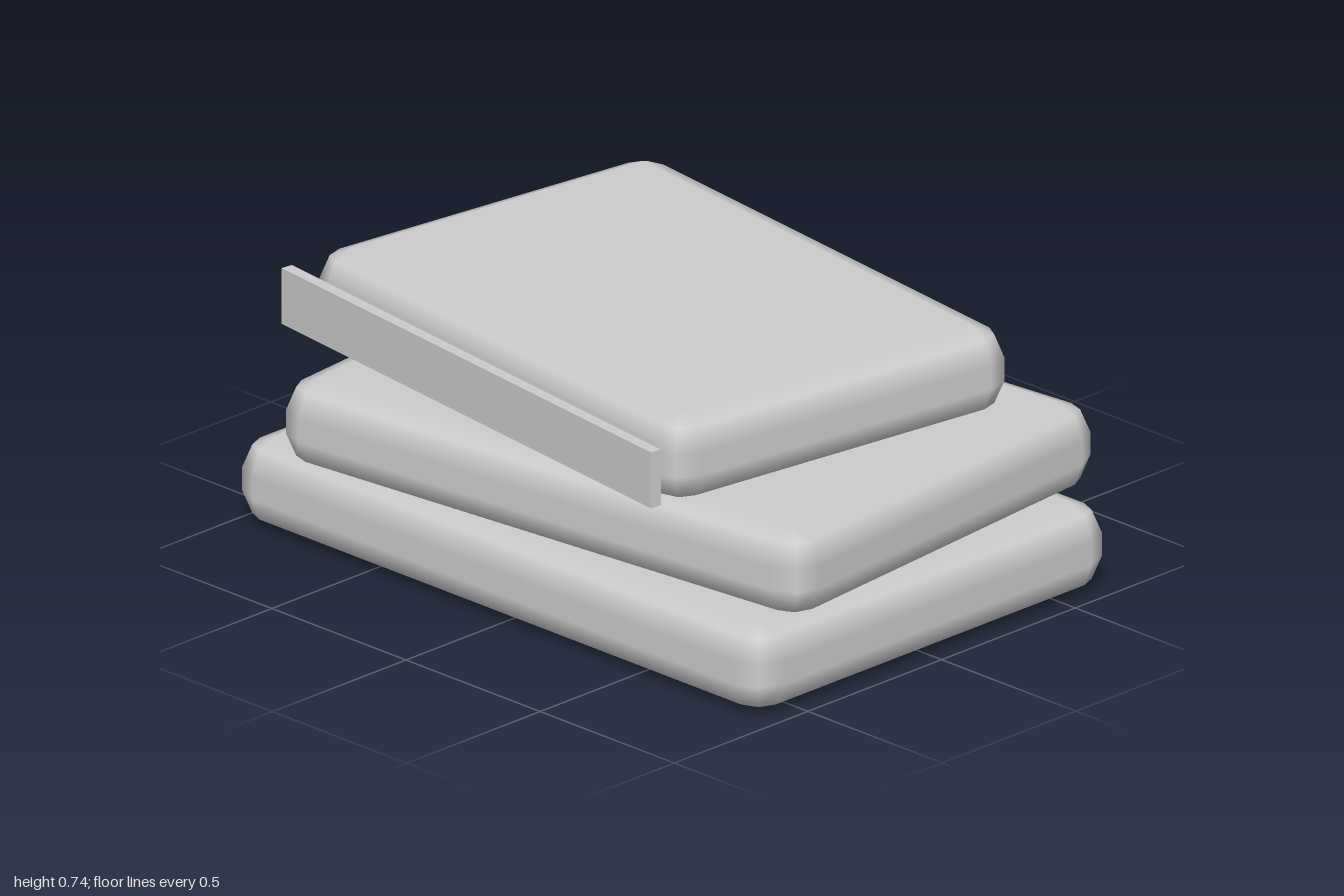
import * as THREE from 'three';

const grey = new THREE.MeshStandardMaterial({ color: 0xcccccc });
grey.name = 'light grey';

// Box with evenly rounded edges (two segments per quarter turn) and smooth normals
function roundedSlab(width, height, depth, r) {
  const half = [width / 2 - r, height / 2 - r, depth / 2 - r];
  const q = Math.PI / 4;
  const rings = [[-2, -1], [-1, -1], [0, -1], [0, 1], [1, 1], [2, 1]]; // [latitude step, y side]
  const pos = [], nor = [], index = [];
  for (const [lat, sy] of rings) {
    for (let corner = 0; corner < 4; corner++) {
      const sx = corner === 0 || corner === 3 ? 1 : -1;
      const sz = corner < 2 ? 1 : -1;
      for (let k = 0; k < 3; k++) {
        const t = (corner * 2 + k) * q;
        const c = Math.abs(lat) === 2 ? 0 : Math.cos(lat * q);
        const n = [c * Math.cos(t), Math.sin(lat * q), c * Math.sin(t)];
        nor.push(...n);
        pos.push(sx * half[0] + n[0] * r, sy * half[1] + n[1] * r, sz * half[2] + n[2] * r);
      }
    }
  }
  for (let i = 0; i < rings.length - 1; i++) {
    for (let j = 0; j < 12; j++) {
      const a = i * 12 + j, b = i * 12 + (j + 1) % 12;
      index.push(a, a + 12, b, b, a + 12, b + 12);
    }
  }
  // Flat bottom and top
  const top = (rings.length - 1) * 12;
  index.push(0, 3, 6, 0, 6, 9, top, top + 6, top + 3, top, top + 9, top + 6);
  const g = new THREE.BufferGeometry();
  g.setAttribute('position', new THREE.Float32BufferAttribute(pos, 3));
  g.setAttribute('normal', new THREE.Float32BufferAttribute(nor, 3));
  g.setIndex(index);
  return g;
}

export function createModel() {
  const model = new THREE.Group();
  model.name = 'slabStack';

  // Three padded slabs, each turned a little
  const slabs = [
    { name: 'bottomSlab', w: 1.98, d: 1.34, at: [-0.01, 0.13, -0.005], turn: 0 },
    { name: 'middleSlab', w: 1.795, d: 1.282, at: [0.05, 0.374, -0.005], turn: 0.1 },
    { name: 'topSlab', w: 1.596, d: 1.15, at: [-0.078, 0.623, -0.036], turn: -0.13 },
  ];
  for (const s of slabs) {
    const group = new THREE.Group();
    group.name = s.name + 'Group';
    group.position.set(...s.at);
    group.rotation.y = s.turn;
    const slab = new THREE.Mesh(roundedSlab(s.w, 0.25, s.d, 0.093), grey);
    slab.name = s.name;
    group.add(slab);
    model.add(group);

    // Thin strip standing in front of the top slab
    if (s.name === 'topSlab') {
      const strip = new THREE.Mesh(new THREE.BoxGeometry(1.596, 0.16, 0.034), grey);
      strip.name = 'frontStrip';
      strip.position.set(0, -0.003, 0.636);
      group.add(strip);
    }
  }
  return model;
}
